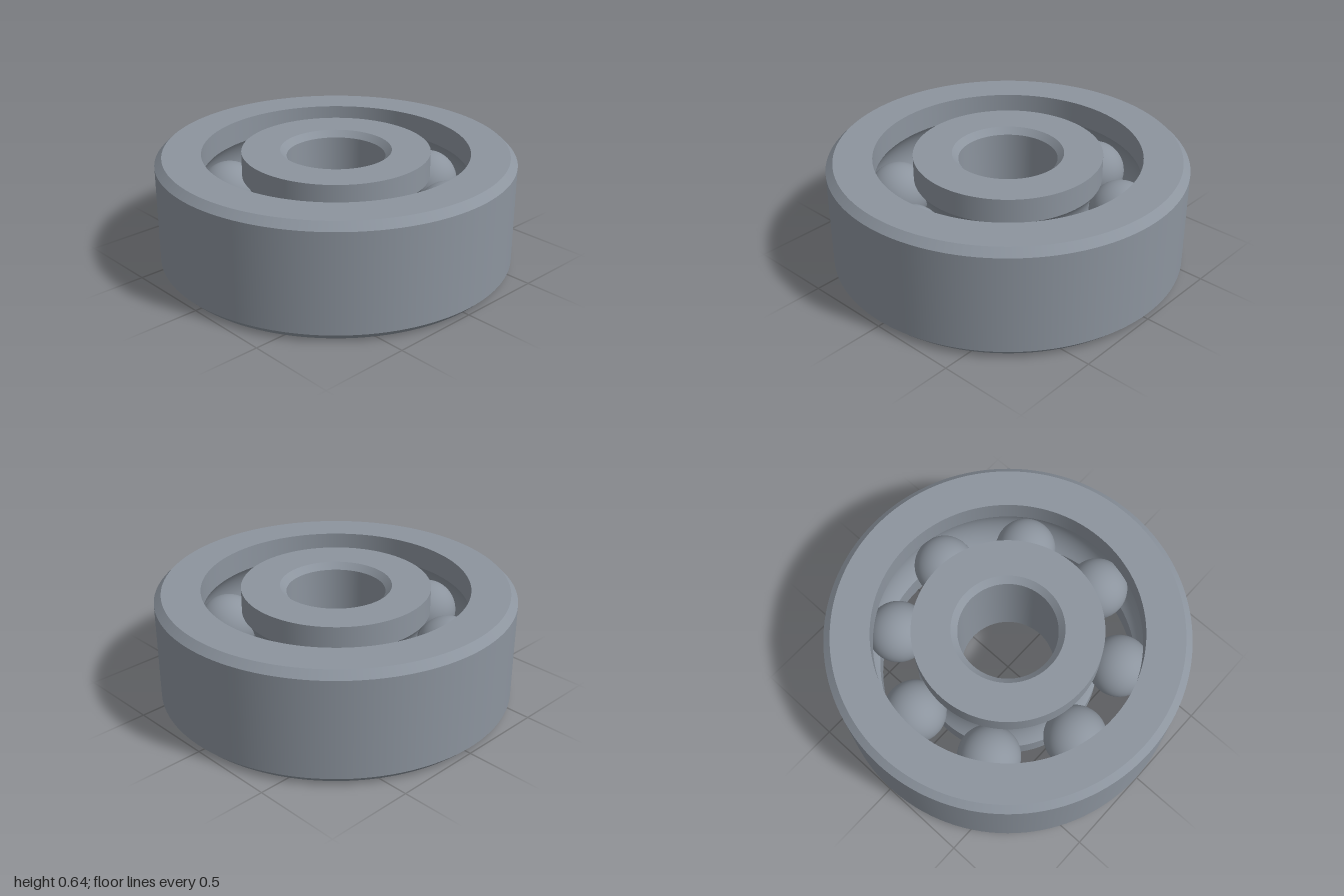
import * as THREE from 'three';
import { mergeGeometries } from 'three/addons/utils/BufferGeometryUtils.js';

const HEIGHT = 0.64, MID = HEIGHT / 2;
const PITCH = 0.635, BALL_R = 0.176, BALLS = 8;
const GROOVE_W = 0.18; // half width of each raceway

// Revolves each run of [radius, y] points on its own, so edges between runs stay sharp.
function revolve(runs) {
  return mergeGeometries(runs.map((run) =>
    new THREE.LatheGeometry(run.map(([r, y]) => new THREE.Vector2(r, y)), 128)));
}

// Turns a corner list into separate straight runs.
function straightRuns(points) {
  return points.slice(1).map((p, i) => [points[i], p]);
}

// Arc of the ball groove; dir is +1 going up, -1 going down.
function groove(land, bottom, dir) {
  const depth = bottom - land, d = Math.abs(depth);
  const radius = (GROOVE_W ** 2 + d ** 2) / (2 * d);
  const half = Math.asin(GROOVE_W / radius);
  const run = [];
  for (let i = 0; i <= 20; i++) {
    const a = (i / 10 - 1) * half;
    const reach = radius * Math.cos(a) - (radius - d);
    run.push([land + Math.sign(depth) * reach, MID + dir * radius * Math.sin(a)]);
  }
  return run;
}

export function createModel() {
  const model = new THREE.Group();
  model.name = 'ballBearing';
  const steel = new THREE.MeshStandardMaterial({ color: 0x8c949e });
  steel.name = 'steel';

  const add = (name, geometry) => {
    const mesh = new THREE.Mesh(geometry, steel);
    mesh.name = name;
    model.add(mesh);
    return mesh;
  };
  const low = MID - GROOVE_W, high = MID + GROOVE_W;

  // Outer ring: chamfered outside, groove on the inside
  const c = 0.04, outerLand = 0.745;
  add('outerRing', revolve([
    ...straightRuns([[outerLand, 0], [1 - c, 0], [1, c], [1, HEIGHT - c],
      [1 - c, HEIGHT], [outerLand, HEIGHT], [outerLand, high]]),
    groove(outerLand, PITCH + BALL_R, -1),
    [[outerLand, low], [outerLand, 0]],
  ]));

  // Inner ring: groove on the outside, chamfered bore
  const b = 0.035, bore = 0.275, innerLand = 0.525;
  add('innerRing', revolve([
    [[innerLand, 0], [innerLand, low]],
    groove(innerLand, PITCH - BALL_R, 1),
    ...straightRuns([[innerLand, high], [innerLand, HEIGHT], [bore + b, HEIGHT],
      [bore, HEIGHT - b], [bore, b], [bore + b, 0], [innerLand, 0]]),
  ]));

  // Balls
  const ballGeometry = new THREE.SphereGeometry(BALL_R, 40, 28);
  for (let i = 0; i < BALLS; i++) {
    const a = THREE.MathUtils.degToRad(12) + (i / BALLS) * Math.PI * 2;
    add('ball' + (i + 1), ballGeometry)
      .position.set(PITCH * Math.cos(a), MID, PITCH * Math.sin(a));
  }
  return model;
}
